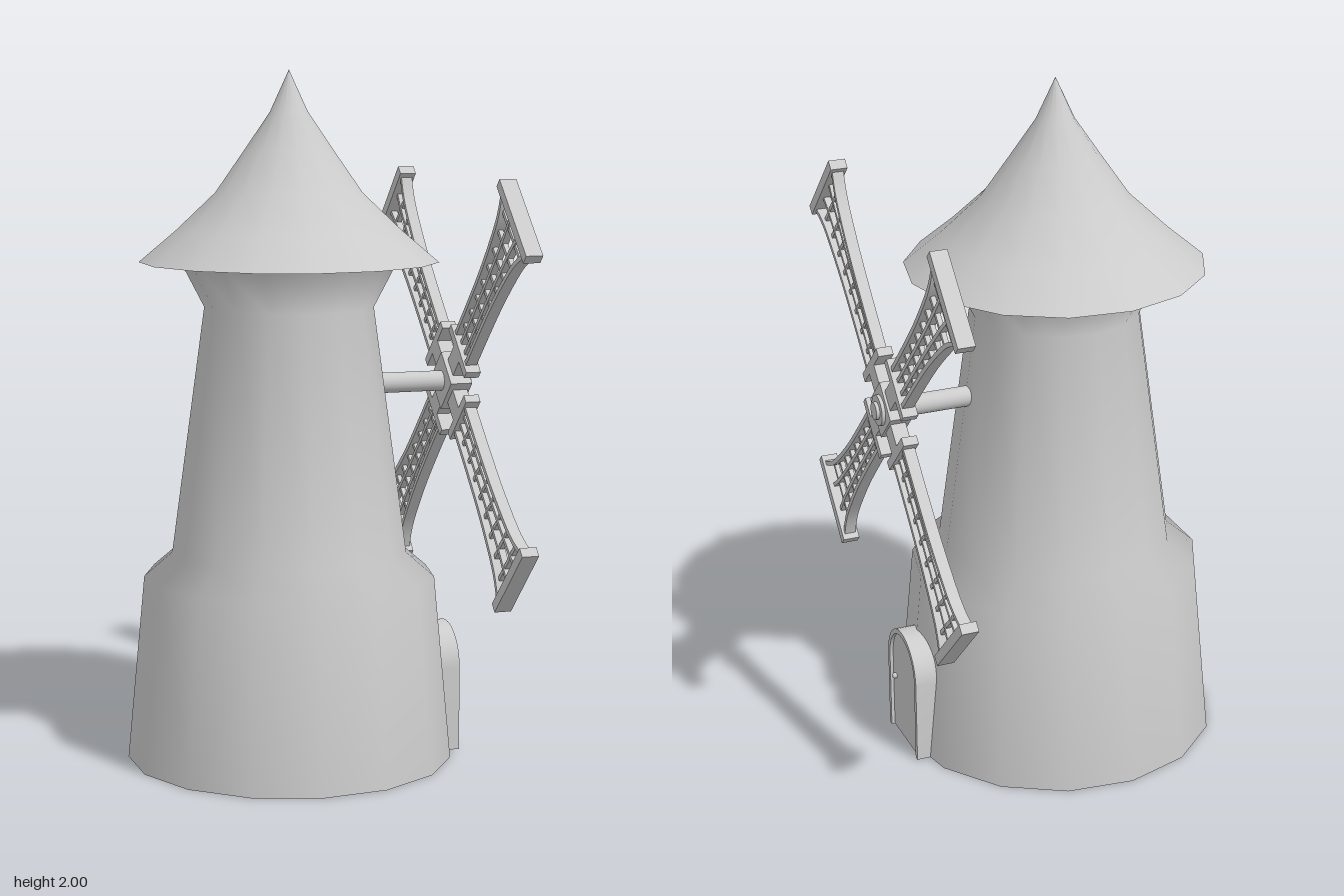
import * as THREE from 'three';
import { toCreasedNormals } from 'three/addons/utils/BufferGeometryUtils.js';

const material = new THREE.MeshStandardMaterial({ color: 0xcccccc });
const SIDES = 15;
const AXIS_X = -0.045;

function add(parent, name, geometry, x = 0, y = 0, z = 0) {
  const mesh = new THREE.Mesh(geometry, material);
  mesh.name = name;
  mesh.position.set(x, y, z);
  parent.add(mesh);
  return mesh;
}

const box = (parent, name, w, h, d, x, y, z) =>
  add(parent, name, new THREE.BoxGeometry(w, h, d), x, y, z);

// Fifteen-sided turned shape with a corner facing the sails
function turned(parent, name, profile) {
  const points = profile.map(([r, y]) => new THREE.Vector2(r, y));
  return add(parent, name, new THREE.LatheGeometry(points, SIDES, Math.PI / 2), AXIS_X);
}

// Extrudes a shape centred on its own depth
function slab(shape, depth) {
  const g = new THREE.ExtrudeGeometry(shape, { depth, bevelEnabled: false, curveSegments: 10 });
  return toCreasedNormals(g.translate(0, 0, -depth / 2), 0.6);
}

// Half width of a sail: narrow near the hub, flaring at the tip
const flare = new THREE.SplineCurve([
  [0.06, 0.14], [0.061, 0.3], [0.066, 0.44], [0.082, 0.58], [0.1, 0.65], [0.128, 0.705],
].map(([w, d]) => new THREE.Vector2(w, d)));
const flarePoints = flare.getPoints(16);

function halfWidth(d) {
  const i = Math.max(1, flarePoints.findIndex((p) => p.y >= d));
  const a = flarePoints[i - 1], b = flarePoints[i];
  return a.x + (b.x - a.x) * (d - a.y) / (b.y - a.y);
}

// Long rail following a fraction of the flare
function railShape(fraction, width) {
  const side = (s) => flarePoints.map((p) => new THREE.Vector2(p.x * fraction + s * width / 2, p.y));
  return new THREE.Shape([...side(1), ...side(-1).reverse()]);
}

function createSail() {
  const sail = new THREE.Group();
  sail.name = 'sail';
  for (const f of [-0.94, -0.33, 0.33, 0.94]) {
    const outer = Math.abs(f) > 0.5;
    add(sail, 'sailRail', slab(railShape(f, outer ? 0.014 : 0.012), outer ? 0.034 : 0.02));
  }
  for (let i = 0; i < 8; i++) {
    const d = 0.2 + i * 0.064;
    box(sail, 'sailRung', halfWidth(d) * 1.88, 0.012, 0.014, 0, d, 0);
  }
  box(sail, 'tipBar', 0.28, 0.03, 0.05, 0, 0.71, 0);
  box(sail, 'innerBar', 0.18, 0.026, 0.045, 0, 0.138, 0);
  box(sail, 'hubArm', 0.06, 0.1, 0.045, 0, 0.08, 0);
  return sail;
}

// Arched outline standing on the ground
function archPath(path, w, spring) {
  path.moveTo(-w, 0);
  path.lineTo(-w, spring);
  path.absarc(0, spring, w, Math.PI, 0, true);
  path.lineTo(w, 0);
  return path;
}

function createDoor() {
  const door = new THREE.Group();
  door.name = 'door';
  const frame = archPath(new THREE.Shape(), 0.12, 0.247);
  frame.lineTo(0.105, 0);
  frame.lineTo(0.105, 0.247);
  frame.absarc(0, 0.247, 0.105, 0, Math.PI, false);
  frame.lineTo(-0.105, 0);
  add(door, 'doorFrame', slab(frame, 0.145), 0, 0, 0.3725);
  add(door, 'doorPanel', slab(archPath(new THREE.Shape(), 0.106, 0.247), 0.13), 0, 0, 0.37);
  add(door, 'doorKnob', new THREE.SphereGeometry(0.009, 10, 8), -0.08, 0.18, 0.44);
  door.rotation.y = Math.PI / 2;
  return door;
}

function createSails() {
  const sails = new THREE.Group();
  sails.name = 'sails';
  for (let k = 0; k < 4; k++) {
    const sail = createSail();
    sail.rotation.z = Math.PI / 4 + k * Math.PI / 2;
    sails.add(sail);
  }
  const plate = box(sails, 'hubPlate', 0.12, 0.12, 0.066, 0, 0, -0.003);
  plate.rotation.z = Math.PI / 4;
  // Axle and stepped cap along the local z axis
  for (const [name, r, back, front] of [
    ['axle', 0.03, -0.36, 0], ['hubDisc', 0.045, 0, 0.04], ['hubCap', 0.026, 0.03, 0.05],
  ]) {
    const g = new THREE.CylinderGeometry(r, r, front - back, 20).rotateX(Math.PI / 2);
    add(sails, name, g, 0, 0, (back + front) / 2);
  }
  sails.position.set(0.46, 1.09, 0);
  sails.rotation.y = Math.PI / 2;
  return sails;
}

export function createModel() {
  const model = new THREE.Group();
  model.name = 'windmill';

  // Tower
  turned(model, 'towerWall', [
    [0.475, 0], [0.424, 0.54], [0.342, 0.61], [0.245, 1.325], [0.312, 1.455],
  ]);
  turned(model, 'towerBottom', [[0, 0], [0.475, 0]]);

  // Roof
  turned(model, 'roof', [
    [0.432, 1.455], [0.325, 1.545], [0.212, 1.652], [0.13, 1.77], [0.055, 1.88], [0, 2],
  ]);
  turned(model, 'roofUnderside', [[0, 1.455], [0.432, 1.455]]);

  model.add(createDoor(), createSails());
  return model;
}
